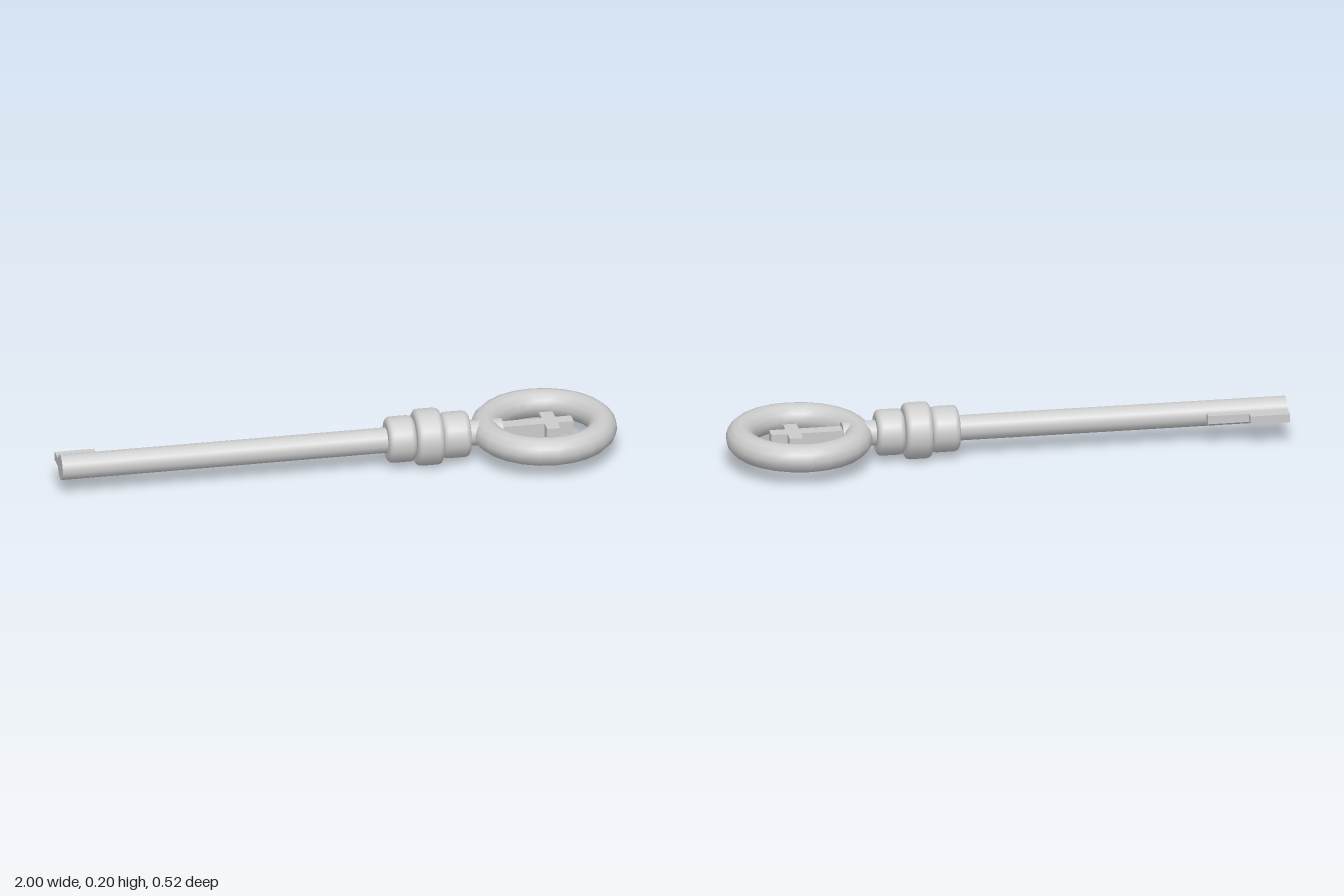
import * as THREE from 'three';

const AXIS_Y = 0.101; // height of the shaft axis
const SIDES = 16;
const HALF = Math.PI / SIDES; // turns a flat facet to the top

export function createModel() {
  const key = new THREE.Group();
  key.name = 'key';
  const material = new THREE.MeshStandardMaterial({ color: 0xcccccc });

  const add = (name, geometry, x, y = AXIS_Y, z = 0) => {
    const mesh = new THREE.Mesh(geometry, material);
    mesh.name = name;
    mesh.position.set(x, y, z);
    key.add(mesh);
    return mesh;
  };

  // Shaft, running from the tip through the near side of the ring
  const shaftStart = -1, shaftEnd = 0.585;
  const shaft = new THREE.CylinderGeometry(0.0455, 0.0455, shaftEnd - shaftStart, SIDES, 1, false, HALF);
  shaft.rotateZ(-Math.PI / 2);
  add('shaft', shaft, (shaftStart + shaftEnd) / 2);

  // Three collars with rounded rims
  const collar = (name, x, radius, width) => {
    const h = width / 2, b = 0.02;
    const points = [new THREE.Vector2(0, -h), new THREE.Vector2(radius - b - 0.002, -h)];
    for (const side of [-1, 1]) {
      for (let i = 0; i <= 4; i++) {
        const a = side * (Math.PI / 2) * (side < 0 ? 1 - i / 4 : i / 4);
        points.push(new THREE.Vector2(radius - b + b * Math.cos(a), side * (h - b) + b * Math.sin(a)));
      }
    }
    points.push(new THREE.Vector2(radius - b - 0.002, h), new THREE.Vector2(0, h));
    const geometry = new THREE.LatheGeometry(points, SIDES, HALF);
    geometry.rotateZ(-Math.PI / 2);
    add(name, geometry, x);
  };
  collar('innerCollar', 0.22, 0.083, 0.1);
  collar('middleCollar', 0.318, 0.102, 0.096);
  collar('outerCollar', 0.416, 0.083, 0.1);

  // Ring handle, lying flat
  const ring = new THREE.TorusGeometry(0.209, 0.051, 12, 24);
  ring.rotateX(Math.PI / 2);
  add('ringHandle', ring, 0.737);

  // Cross inside the ring
  const s = 0.025, arm = 0.073;
  const outline = [
    [0.56, -s], [0.735, -s], [0.735, -arm], [0.783, -arm], [0.783, -s], [0.84, -s],
    [0.84, s], [0.783, s], [0.783, arm], [0.735, arm], [0.735, s], [0.56, s],
  ];
  const plate = (name, corners, thickness) => {
    const shape = new THREE.Shape(corners.map(([x, y]) => new THREE.Vector2(x, y)));
    const geometry = new THREE.ExtrudeGeometry(shape, { depth: thickness, bevelEnabled: false });
    geometry.translate(0, 0, -thickness / 2);
    geometry.rotateX(-Math.PI / 2); // outline y becomes -z
    add(name, geometry, 0);
  };
  plate('cross', outline, 0.048);

  // Stepped bit at the back of the tip
  plate('bit', [[-1, 0.02], [-0.711, 0.02], [-0.711, 0.073], [-0.858, 0.073], [-0.858, 0.1], [-1, 0.1]], 0.03);

  return key;
}
